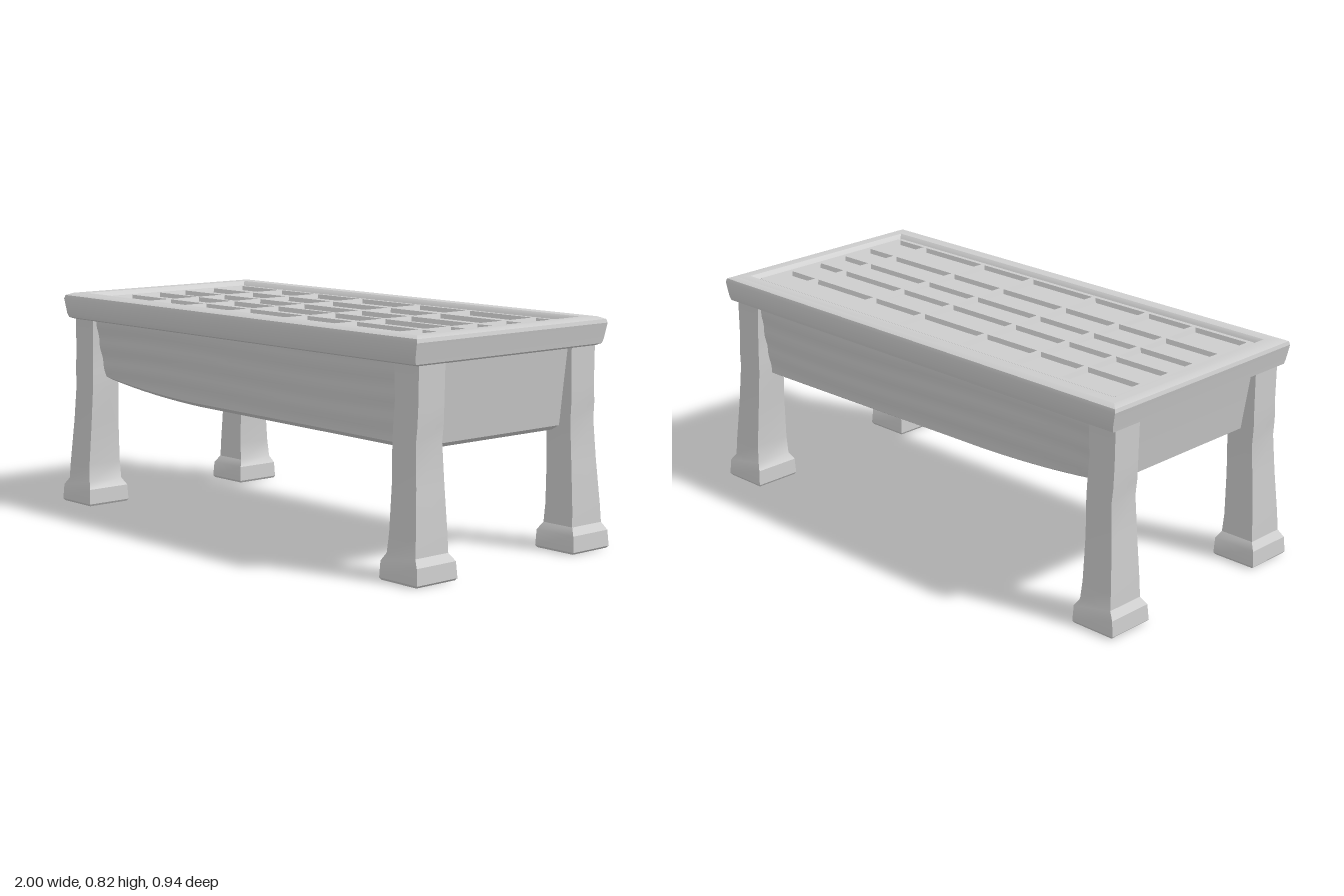
import * as THREE from 'three';
import { toCreasedNormals } from 'three/addons/utils/BufferGeometryUtils.js';

// Stacked rectangles [x0, x1, z0, z1, y] skinned into a closed solid
function loft(rings) {
  const pos = [], idx = [];
  for (const [x0, x1, z0, z1, y] of rings) {
    pos.push(x0, y, z1, x1, y, z1, x1, y, z0, x0, y, z0);
  }
  for (let i = 0; i < rings.length - 1; i++) {
    for (let j = 0; j < 4; j++) {
      const k = (j + 1) % 4, a = i * 4 + j, b = i * 4 + k;
      idx.push(a, b, b + 4, a, b + 4, a + 4);
    }
  }
  const t = (rings.length - 1) * 4;
  idx.push(0, 3, 2, 0, 2, 1, t, t + 1, t + 2, t, t + 2, t + 3);
  const geo = new THREE.BufferGeometry();
  geo.setAttribute('position', new THREE.Float32BufferAttribute(pos, 3));
  geo.setIndex(idx);
  return toCreasedNormals(geo, 0.5);
}

export function createModel() {
  const model = new THREE.Group();
  model.name = 'table';
  const stone = new THREE.MeshStandardMaterial({ color: 0xcccccc });
  stone.name = 'grey stone';
  const add = (name, geo, parent = model) => {
    const mesh = new THREE.Mesh(geo, stone);
    mesh.name = name;
    parent.add(mesh);
  };

  // Top frame: outer lip, softly crowned border, then down into the recessed tray
  const frame = [
    [0.955, 0.43, 0.719], [0.967, 0.45, 0.726], [0.97, 0.456, 0.742],
    [0.982, 0.461, 0.798], [0.978, 0.457, 0.811], [0.955, 0.435, 0.82],
    [0.918, 0.392, 0.819], [0.908, 0.38, 0.81], [0.895, 0.368, 0.788],
  ];
  add('topFrame', loft(frame.map(([x, z, y]) => [-x, x, -z, z, y])));

  // Raised lattice across the tray
  const lattice = new THREE.Group();
  lattice.name = 'lattice';
  model.add(lattice);
  const bar = (name, x0, x1, z0, z1) => {
    const s = 0.008;
    add(name, loft([
      [x0, x1, z0, z1, 0.784],
      [x0 + s, x1 - s, z0 + s, z1 - s, 0.804],
    ]), lattice);
  };
  for (const x of [-0.88, -0.632, -0.415, -0.157, 0.16, 0.42, 0.745, 0.895]) {
    bar('crossBar', x - 0.017, x + 0.017, -0.36, 0.37);
  }
  for (const z of [-0.352, -0.202, -0.058, 0.07, 0.205, 0.368]) {
    bar('longBar', -0.895, 0.905, z - 0.017, z + 0.017);
  }

  // Deep body: sides flare up to the frame, gentle ripples, bevelled underside
  // that rises toward one end
  const body = new THREE.BoxGeometry(2, 1, 2, 24, 16, 1);
  const p = body.attributes.position;
  for (let i = 0; i < p.count; i++) {
    const t = p.getY(i) + 0.5;
    const bevel = t < 0.01 ? 0.03 : 0;
    const x = p.getX(i) * (0.94 - 0.045 * (1 - t) - bevel);
    const rise = Math.max(0, -x - 0.3);
    const bottom = 0.434 - 0.012 * x + 0.09 * rise * rise + 0.02 * rise;
    const y = bottom + (0.735 - bottom) * t;
    const ripple = 0.002 * Math.sin(y * 75 + Math.sin(x * 3));
    const z = p.getZ(i) * (0.415 - 0.05 * (1 - t) - bevel + ripple);
    p.setXYZ(i, x, y, z);
  }
  add('body', toCreasedNormals(body, 0.5));

  // Tapered legs on block feet: inner x, outer x, inner z, outer z, height
  const legProfile = [
    [0.825, 0.992, 0.29, 0.465, 0], [0.82, 1, 0.285, 0.47, 0.008],
    [0.823, 0.995, 0.288, 0.467, 0.065], [0.84, 0.975, 0.304, 0.455, 0.092],
    [0.846, 0.972, 0.306, 0.45, 0.16], [0.845, 0.96, 0.31, 0.438, 0.32],
    [0.84, 0.95, 0.312, 0.432, 0.46], [0.842, 0.955, 0.31, 0.43, 0.52],
    [0.845, 0.955, 0.308, 0.426, 0.6], [0.84, 0.956, 0.306, 0.426, 0.725],
  ];
  for (const sx of [-1, 1]) for (const sz of [-1, 1]) {
    const rings = legProfile.map(([a, b, c, d, y]) => [
      Math.min(sx * a, sx * b), Math.max(sx * a, sx * b),
      Math.min(sz * c, sz * d), Math.max(sz * c, sz * d), y]);
    add((sz > 0 ? 'front' : 'back') + (sx > 0 ? 'Left' : 'Right') + 'Leg', loft(rings));
  }
  return model;
}
